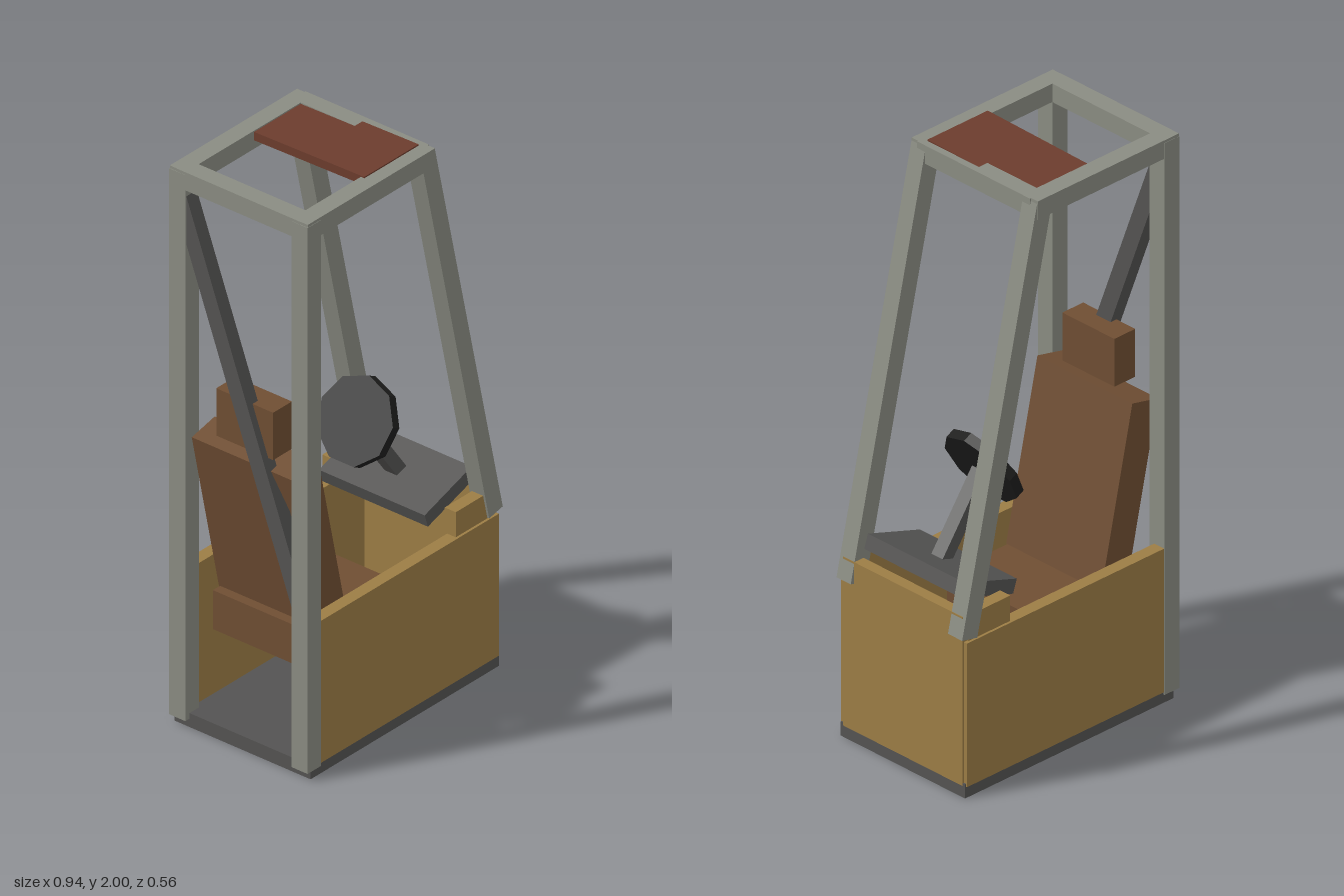
import * as THREE from 'three';

const mat = (color) => new THREE.MeshStandardMaterial({ color, flatShading: true });

export function createModel() {
  const cab = new THREE.Group();
  cab.name = 'operatorCab';
  const frame = mat(0x8a8c82), yellow = mat(0x9c7d45), dark = mat(0x545352);
  const brown = mat(0x6f4e33), black = mat(0x1e1e1d), red = mat(0x6c3c2d);

  const add = (name, geometry, material) => {
    const mesh = new THREE.Mesh(geometry, material);
    mesh.name = name;
    cab.add(mesh);
    return mesh;
  };
  // Box given by its lower and upper limits on each axis
  const box = (name, material, x0, x1, y0, y1, z0, z1) => {
    const mesh = add(name, new THREE.BoxGeometry(x1 - x0, y1 - y0, z1 - z0), material);
    mesh.position.set((x0 + x1) / 2, (y0 + y1) / 2, (z0 + z1) / 2);
    return mesh;
  };
  // Side outline in x and y, extruded along z
  const slab = (name, material, points, z0, z1) => {
    const shape = new THREE.Shape(points.map(([x, y]) => new THREE.Vector2(x, y)));
    const geometry = new THREE.ExtrudeGeometry(shape, { depth: z1 - z0, bevelEnabled: false });
    geometry.translate(0, 0, z0);
    return add(name, geometry, material);
  };

  // Floor and front panel
  box('floor', dark, -0.45, 0.45, 0, 0.05, -0.275, 0.275);
  box('frontPanel', yellow, 0.41, 0.45, 0.04, 0.64, -0.265, 0.265);

  // Parts mirrored on both sides
  for (const s of [-1, 1]) {
    const range = (a, b) => (s > 0 ? [a, b] : [-b, -a]);
    box('sidePanel', yellow, -0.43, 0.445, 0.04, 0.55, ...range(0.235, 0.279));
    box('sidePanelRiser', yellow, 0.25, 0.43, 0.55, 0.64, ...range(0.225, 0.27));
    box('rearPost', frame, -0.47, -0.405, 0.03, 1.99, ...range(0.215, 0.28));
    slab('frontPost', frame, [[0.40, 0.553], [0.465, 0.567], [0.142, 1.99], [0.077, 1.975]], ...range(0.215, 0.278));
    box('roofSideRail', frame, -0.468, 0.14, 1.935, 2, ...range(0.216, 0.279));
  }

  // Roof crossbars and roof plate, slightly tipped through the frame
  box('roofRearRail', frame, -0.469, -0.405, 1.935, 2, -0.25, 0.25);
  box('roofFrontRail', frame, 0.083, 0.145, 1.935, 2, -0.25, 0.25);
  box('roofPlate', red, -0.14, 0.12, 1.97, 2, -0.225, 0.23).rotation.x = -0.02;

  // Diagonal brace across the back
  const brace = box('rearBrace', dark, -0.465, -0.415, 0.53, 1.97, -0.03, 0.03);
  brace.rotation.x = -Math.atan2(0.5, 1.34);

  // Seat
  box('seatCushion', brown, -0.35, 0.06, 0.31, 0.45, -0.205, 0.205);
  slab('seatBack', brown, [[-0.31, 0.425], [-0.2, 0.45], [-0.335, 1.065], [-0.445, 1.04]], -0.21, 0.21);
  box('headrest', brown, -0.44, -0.35, 1.08, 1.25, -0.115, 0.115);

  // Dashboard, steering column and wheel
  const dash = box('dashboard', dark, 0.169, 0.406, 0.633, 0.683, -0.214, 0.214);
  dash.rotation.z = 0.32;
  const column = box('steeringColumn', dark, 0.18, 0.225, 0.63, 0.95, -0.025, 0.025);
  column.rotation.z = Math.atan2(0.18, 0.25);
  const wheel = add('steeringWheel', new THREE.CylinderGeometry(0.146, 0.146, 0.035, 9, 1, false, Math.PI / 2), black);
  wheel.position.set(0.102, 0.933, 0);
  wheel.rotation.z = 1.08;

  return cab;
}
